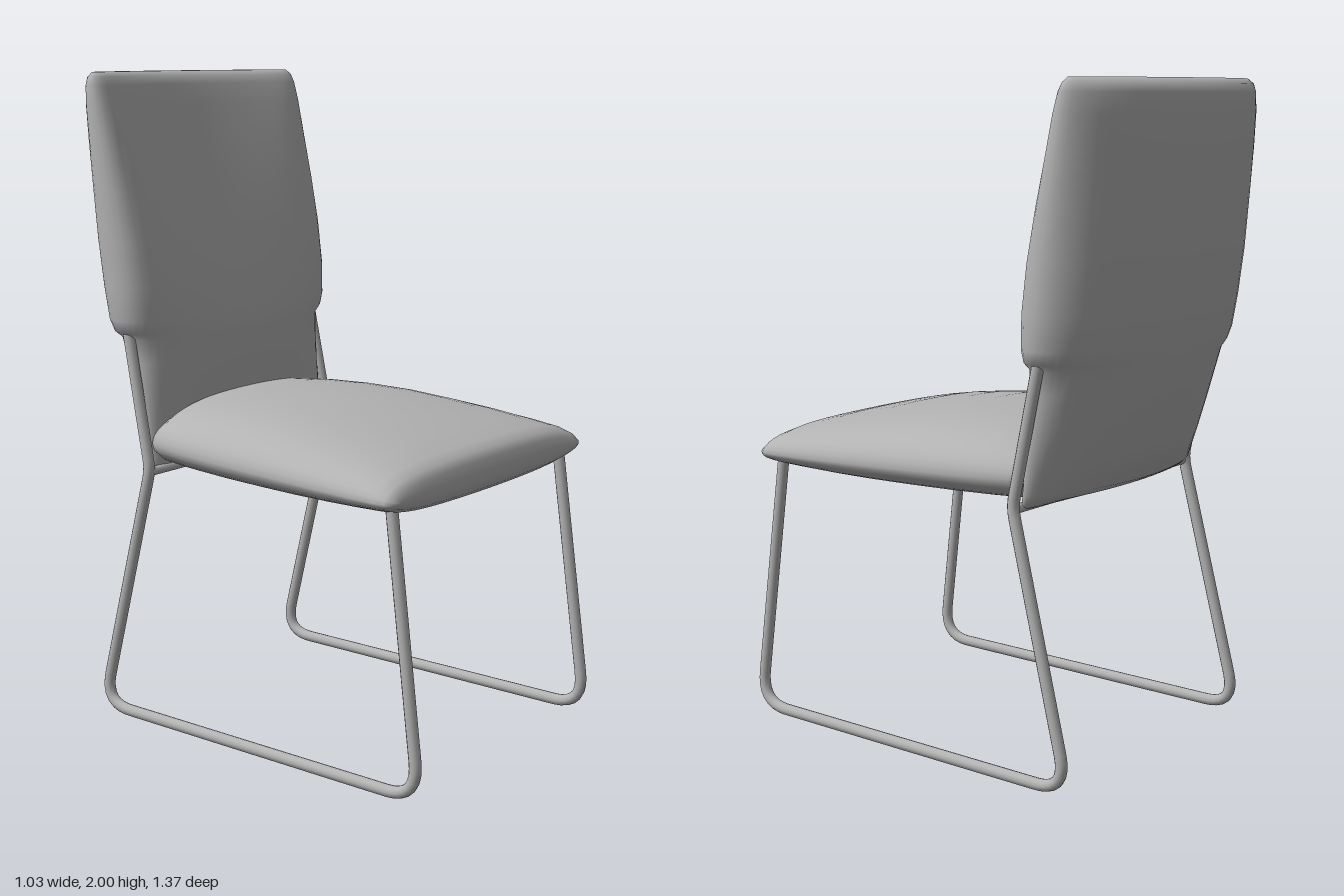
import * as THREE from 'three';

const N = 28; // steps across a cushion

// Cushion lofted from closed sections. Each row is
// [station, halfWidth, faceCentre, faceEdge, rearCentre, rearEdge, seam];
// both faces curve across the width and roll over to meet at the side seam.
function cushion(rows, power, place) {
  const pos = [], index = [], ring = 2 * N;
  for (const [t, w, fc, fe, rc, re, seam] of rows) {
    for (let j = 0; j < ring; j++) {
      const face = j <= N;
      const s = face ? j / N : (ring - j) / N;
      const u = Math.sin((s * 2 - 1) * Math.PI / 2);
      const roll = Math.sqrt(Math.max(0, 1 - Math.pow(Math.abs(u), power)));
      const c = face ? fc : rc, e = face ? fe : re;
      const depth = seam + (c + (e - c) * u * u - seam) * roll;
      pos.push(...place(u * w, depth, t));
    }
  }
  const quad = (a, b, c, d) => index.push(a, b, c, a, c, d);
  for (let i = 0; i < rows.length - 1; i++) {
    for (let j = 0; j < ring; j++) {
      const a = i * ring, k = (j + 1) % ring;
      quad(a + j, a + k, a + ring + k, a + ring + j);
    }
  }
  // close both ends by bridging face to rear
  const last = (rows.length - 1) * ring;
  for (let j = 0; j < N; j++) {
    const p = (ring - j) % ring, q = ring - j - 1;
    quad(last + j, last + j + 1, last + q, last + p);
    quad(p, q, j + 1, j);
  }
  const g = new THREE.BufferGeometry();
  g.setAttribute('position', new THREE.Float32BufferAttribute(pos, 3));
  g.setIndex(index);
  g.computeVertexNormals();
  return g;
}

// Polyline with rounded corners; every point is [x, y, z, cornerCut]
function bentPath(points) {
  const path = new THREE.CurvePath();
  const v = points.map(p => new THREE.Vector3(p[0], p[1], p[2]));
  let from = v[0];
  for (let i = 1; i < v.length - 1; i++) {
    const cut = points[i][3];
    const a = v[i].clone().add(v[i - 1].clone().sub(v[i]).setLength(cut));
    const b = v[i].clone().add(v[i + 1].clone().sub(v[i]).setLength(cut));
    path.add(new THREE.LineCurve3(from, a));
    path.add(new THREE.QuadraticBezierCurve3(a, v[i], b));
    from = b;
  }
  path.add(new THREE.LineCurve3(from, v[v.length - 1]));
  return path;
}

export function createModel() {
  const model = new THREE.Group();
  model.name = 'chair';
  const grey = new THREE.MeshStandardMaterial({ color: 0xb3b3b3 });
  grey.name = 'grey';
  const add = (name, geometry) => {
    const mesh = new THREE.Mesh(geometry, grey);
    mesh.name = name;
    model.add(mesh);
    return mesh;
  };

  // Seat, front to back: stations along z
  add('seat', cushion([
    [0.62, 0.475, 0.875, 0.87, 0.845, 0.845, 0.86],
    [0.612, 0.5, 0.905, 0.895, 0.82, 0.83, 0.86],
    [0.595, 0.511, 0.928, 0.915, 0.806, 0.82, 0.86],
    [0.56, 0.514, 0.943, 0.93, 0.798, 0.815, 0.861],
    [0.48, 0.513, 0.962, 0.94, 0.79, 0.812, 0.863],
    [0.36, 0.507, 0.985, 0.953, 0.783, 0.808, 0.866],
    [0.22, 0.498, 1.005, 0.964, 0.78, 0.806, 0.87],
    [0.08, 0.488, 1.02, 0.972, 0.782, 0.806, 0.874],
    [-0.06, 0.477, 1.024, 0.976, 0.787, 0.807, 0.878],
    [-0.2, 0.459, 1.02, 0.976, 0.794, 0.808, 0.882],
    [-0.31, 0.437, 1.012, 0.97, 0.8, 0.81, 0.885],
    [-0.345, 0.42, 0.99, 0.95, 0.81, 0.82, 0.886],
    [-0.355, 0.4, 0.92, 0.91, 0.86, 0.86, 0.887],
  ], 6, (x, d, t) => [x, d, t]));

  // Backrest, bottom to top: stations along y, wider where it sleeves the tubes
  add('backrest', cushion([
    [0.8, 0.41, -0.335, -0.335, -0.38, -0.355, -0.345],
    [0.815, 0.414, -0.325, -0.33, -0.43, -0.375, -0.348],
    [0.84, 0.416, -0.32, -0.33, -0.48, -0.39, -0.352],
    [0.94, 0.42, -0.31, -0.335, -0.525, -0.42, -0.37],
    [1.04, 0.422, -0.302, -0.34, -0.56, -0.45, -0.388],
    [1.13, 0.424, -0.298, -0.342, -0.59, -0.475, -0.403],
    [1.2, 0.428, -0.3, -0.342, -0.61, -0.495, -0.415],
    [1.222, 0.458, -0.302, -0.342, -0.615, -0.5, -0.419],
    [1.26, 0.472, -0.308, -0.34, -0.624, -0.51, -0.424],
    [1.36, 0.477, -0.33, -0.338, -0.643, -0.525, -0.437],
    [1.5, 0.48, -0.375, -0.355, -0.66, -0.543, -0.456],
    [1.65, 0.481, -0.43, -0.387, -0.671, -0.555, -0.477],
    [1.8, 0.48, -0.488, -0.425, -0.678, -0.568, -0.499],
    [1.9, 0.479, -0.525, -0.452, -0.679, -0.574, -0.514],
    [1.96, 0.476, -0.548, -0.475, -0.673, -0.574, -0.522],
    [1.985, 0.469, -0.562, -0.49, -0.66, -0.568, -0.526],
    [2.0, 0.452, -0.585, -0.51, -0.635, -0.552, -0.53],
  ], 10, (x, d, t) => [x, t, d]));

  // Sled frame: one bent tube on each side
  const r = 0.018;
  for (const [name, s] of [['leftFrame', 1], ['rightFrame', -1]]) {
    const path = bentPath([
      [s * 0.442, 0.86, 0.57],
      [s * 0.456, r, 0.682, 0.11],
      [s * 0.456, r, -0.54, 0.11],
      [s * 0.444, 0.81, -0.335, 0.03],
      [s * 0.436, 1.3, -0.435],
    ]);
    add(name, new THREE.TubeGeometry(path, 160, r, 12));
  }

  // Cross bar beneath the rear of the seat
  const bar = add('rearCrossBar', new THREE.CylinderGeometry(0.014, 0.014, 0.885, 12));
  bar.rotation.z = Math.PI / 2;
  bar.position.set(0, 0.803, -0.337);

  return model;
}
